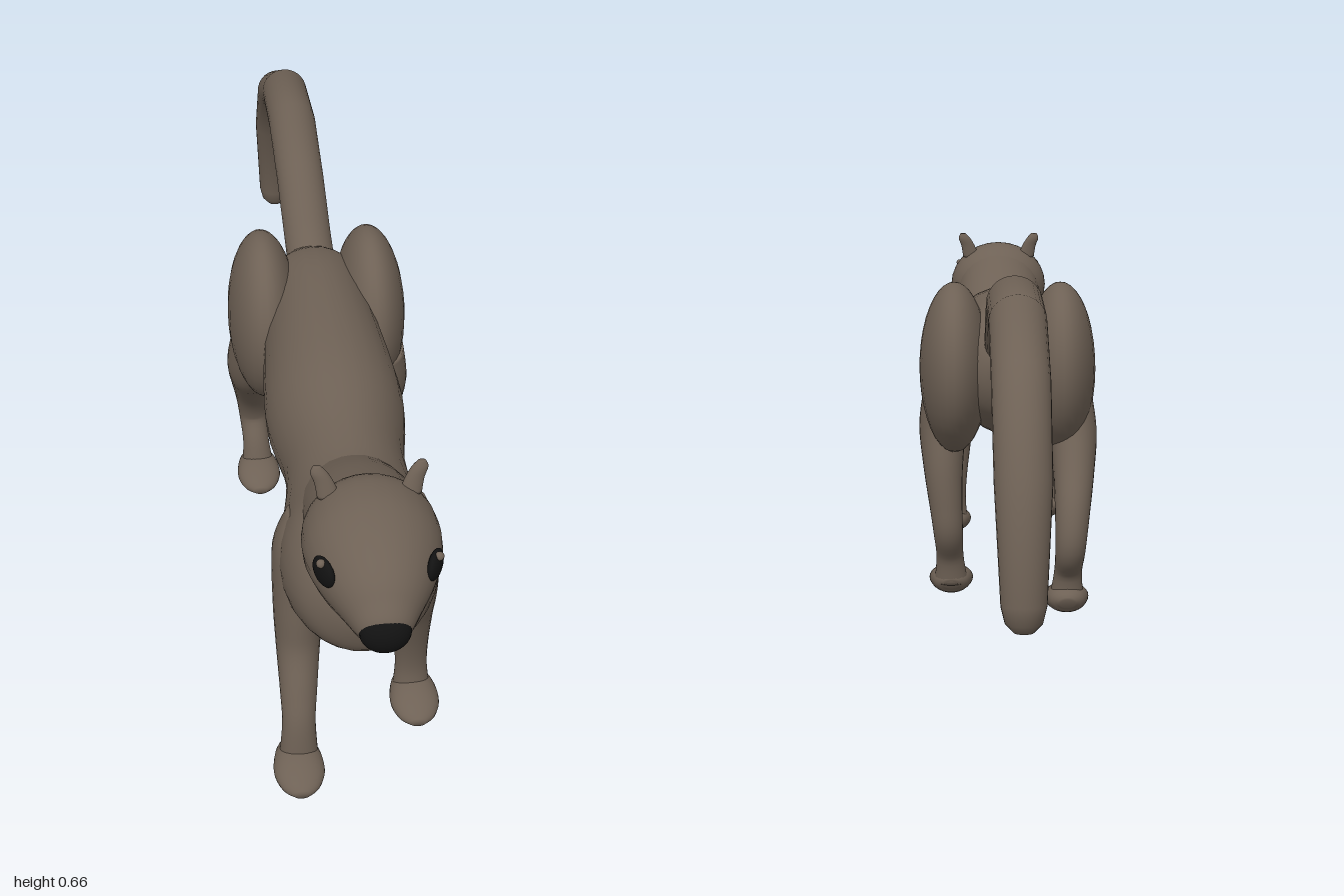
import * as THREE from 'three';

const fur = new THREE.MeshStandardMaterial({ color: 0x6e6155 });
fur.name = 'brown fur';
const black = new THREE.MeshStandardMaterial({ color: 0x121212 });
black.name = 'black';

const SIDES = 28;

// Skin elliptical rings [x, y, z, half width, half height] set square to their path
function loft(name, rings, steps = 5, material = fur) {
  const rows = [];
  for (let i = 0; i < rings.length - 1; i++) {
    for (let s = 0; s < steps; s++) rows.push(blend(rings, i, s / steps));
  }
  const first = rings[0], last = rings[rings.length - 1];
  rows.push(last);
  rows.unshift([first[0], first[1], first[2], 0.0005, 0.0005]);
  rows.push([last[0], last[1], last[2], 0.0005, 0.0005]);
  const pos = [], index = [];
  rows.forEach((r, i) => {
    const a = rows[Math.max(i - 1, 0)], b = rows[Math.min(i + 1, rows.length - 1)];
    let ty = b[1] - a[1], tz = b[2] - a[2];
    const len = Math.hypot(ty, tz) || 1;
    ty /= len; tz /= len;
    for (let j = 0; j < SIDES; j++) {
      const t = (j / SIDES) * Math.PI * 2;
      const v = Math.sin(t) * r[4];
      pos.push(r[0] + Math.cos(t) * r[3], r[1] + v * tz, r[2] - v * ty);
      if (i < rows.length - 1) {
        const k = (j + 1) % SIDES, p = i * SIDES, q = p + SIDES;
        index.push(p + j, p + k, q + k, p + j, q + k, q + j);
      }
    }
  });
  const geo = new THREE.BufferGeometry();
  geo.setAttribute('position', new THREE.Float32BufferAttribute(pos, 3));
  geo.setIndex(index);
  geo.computeVertexNormals();
  const mesh = new THREE.Mesh(geo, material);
  mesh.name = name;
  return mesh;
}

// Catmull-Rom blend between ring i and i + 1
function blend(r, i, t) {
  const p0 = r[Math.max(i - 1, 0)], p1 = r[i], p2 = r[i + 1], p3 = r[Math.min(i + 2, r.length - 1)];
  return p1.map((_, k) => {
    const m1 = (p2[k] - p0[k]) / 2, m2 = (p3[k] - p1[k]) / 2, d = p2[k] - p1[k];
    const v = p1[k] + t * (m1 + t * (3 * d - 2 * m1 - m2 + t * (m1 + m2 - 2 * d)));
    return k > 2 ? Math.max(v, 0.0005) : v;
  });
}

function ball(name, center, radii, material = fur) {
  const mesh = new THREE.Mesh(new THREE.SphereGeometry(1, 28, 20), material);
  mesh.name = name;
  mesh.position.set(...center);
  mesh.scale.set(...radii);
  return mesh;
}

// Leg rings are [outward, y, z, half width, half depth]
function leg(name, side, rings, footX, footZ) {
  const group = new THREE.Group();
  group.name = name;
  group.add(loft('limb', rings.map(([x, ...rest]) => [x * side, ...rest])));
  const paw = [[-0.055, 0.026, 0.014, 0.01], [-0.045, 0.029, 0.03, 0.021], [-0.015, 0.029, 0.04, 0.028],
    [0.02, 0.025, 0.042, 0.024], [0.05, 0.02, 0.03, 0.015], [0.064, 0.017, 0.012, 0.007]];
  group.add(loft('paw', paw.map(([z, y, w, h]) => [footX * side, y, footZ + z, w, h]), 3));
  return group;
}

export function createModel() {
  const model = new THREE.Group();
  model.name = 'longTailedAnimal';

  // Trunk, chest and neck
  model.add(loft('body', [
    [0, 0.47, -0.15, 0.03, 0.035], [0, 0.465, -0.12, 0.07, 0.08], [0, 0.455, -0.06, 0.1, 0.115],
    [0, 0.445, 0.06, 0.105, 0.136], [0, 0.431, 0.3, 0.122, 0.14], [0, 0.42, 0.47, 0.102, 0.118],
    [0, 0.396, 0.58, 0.118, 0.138], [0, 0.388, 0.67, 0.13, 0.148], [0, 0.385, 0.74, 0.112, 0.122],
    [0, 0.388, 0.78, 0.07, 0.075], [0, 0.39, 0.797, 0.015, 0.015]]));
  model.add(loft('neck', [
    [0, 0.43, 0.57, 0.09, 0.085], [0, 0.49, 0.68, 0.092, 0.085], [0, 0.53, 0.78, 0.09, 0.085]]));

  // Head tapering into the muzzle
  model.add(loft('head', [
    [0, 0.53, 0.695, 0.02, 0.02], [0, 0.53, 0.71, 0.06, 0.055], [0, 0.53, 0.755, 0.098, 0.088],
    [0, 0.53, 0.81, 0.107, 0.095], [0, 0.526, 0.86, 0.1, 0.088], [0, 0.515, 0.91, 0.08, 0.075],
    [0, 0.5, 0.95, 0.055, 0.053], [0, 0.491, 0.975, 0.038, 0.035], [0, 0.487, 0.985, 0.018, 0.016]]));
  model.add(ball('nose', [0, 0.492, 0.973], [0.039, 0.035, 0.026], black));

  for (const side of [1, -1]) {
    const label = side > 0 ? 'left' : 'right';
    // Eyes and brow dots
    const eye = ball(label + 'Eye', [0.083 * side, 0.552, 0.9], [0.01, 0.024, 0.027], black);
    eye.rotation.y = -0.45 * side;
    model.add(eye);
    model.add(ball(label + 'Brow', [0.088 * side, 0.571, 0.905], [0.007, 0.007, 0.007]));
    // Ears
    model.add(loft(label + 'Ear', [
      [0.062 * side, 0.595, 0.775, 0.018, 0.011], [0.069 * side, 0.62, 0.771, 0.015, 0.009],
      [0.077 * side, 0.637, 0.768, 0.013, 0.008], [0.08 * side, 0.648, 0.767, 0.006, 0.004]], 4));
    // Haunches
    model.add(ball(label + 'Haunch', [0.1 * side, 0.45, -0.022], [0.066, 0.161, 0.147]));
  }

  // Front legs: left one back, right one reaching forward
  model.add(leg('leftFrontLeg', 1, [
    [0.08, 0.46, 0.6, 0.035, 0.035], [0.09, 0.4, 0.61, 0.048, 0.065], [0.098, 0.3, 0.61, 0.042, 0.056],
    [0.1, 0.22, 0.59, 0.037, 0.043], [0.103, 0.14, 0.578, 0.03, 0.027], [0.105, 0.08, 0.573, 0.028, 0.021],
    [0.106, 0.03, 0.573, 0.033, 0.026]], 0.108, 0.595));
  model.add(leg('rightFrontLeg', -1, [
    [0.08, 0.46, 0.62, 0.035, 0.035], [0.09, 0.4, 0.63, 0.048, 0.065], [0.098, 0.3, 0.645, 0.042, 0.056],
    [0.1, 0.22, 0.66, 0.037, 0.045], [0.103, 0.15, 0.7, 0.031, 0.031], [0.105, 0.1, 0.723, 0.028, 0.024],
    [0.106, 0.03, 0.728, 0.033, 0.026]], 0.108, 0.748));

  // Hind legs: left one forward, right one trailing
  model.add(leg('leftHindLeg', 1, [
    [0.115, 0.4, 0.03, 0.045, 0.07], [0.123, 0.33, 0.025, 0.045, 0.062], [0.122, 0.25, -0.008, 0.037, 0.046],
    [0.117, 0.18, -0.025, 0.031, 0.034], [0.113, 0.13, -0.027, 0.028, 0.028], [0.11, 0.08, -0.002, 0.026, 0.022],
    [0.108, 0.03, 0.01, 0.032, 0.026]], 0.108, 0.042));
  model.add(leg('rightHindLeg', -1, [
    [0.115, 0.4, -0.02, 0.045, 0.07], [0.123, 0.33, -0.05, 0.045, 0.062], [0.122, 0.26, -0.105, 0.038, 0.045],
    [0.117, 0.19, -0.153, 0.032, 0.037], [0.113, 0.13, -0.168, 0.028, 0.031], [0.11, 0.08, -0.14, 0.026, 0.022],
    [0.108, 0.03, -0.13, 0.032, 0.026]], 0.108, -0.113));

  // Tail arching up and over to a hanging tip, in straight lengths
  model.add(loft('tail', [
    [0, 0.5, -0.09, 0.045, 0.05], [0, 0.528, -0.18, 0.045, 0.042], [0, 0.577, -0.32, 0.046, 0.044],
    [0, 0.619, -0.49, 0.047, 0.046], [0, 0.609, -0.67, 0.046, 0.045], [0, 0.537, -0.83, 0.045, 0.045],
    [0, 0.405, -0.943, 0.043, 0.042], [0, 0.23, -0.967, 0.034, 0.033], [0, 0.205, -0.967, 0.028, 0.027],
    [0, 0.191, -0.967, 0.015, 0.014]], 1));

  return model;
}
